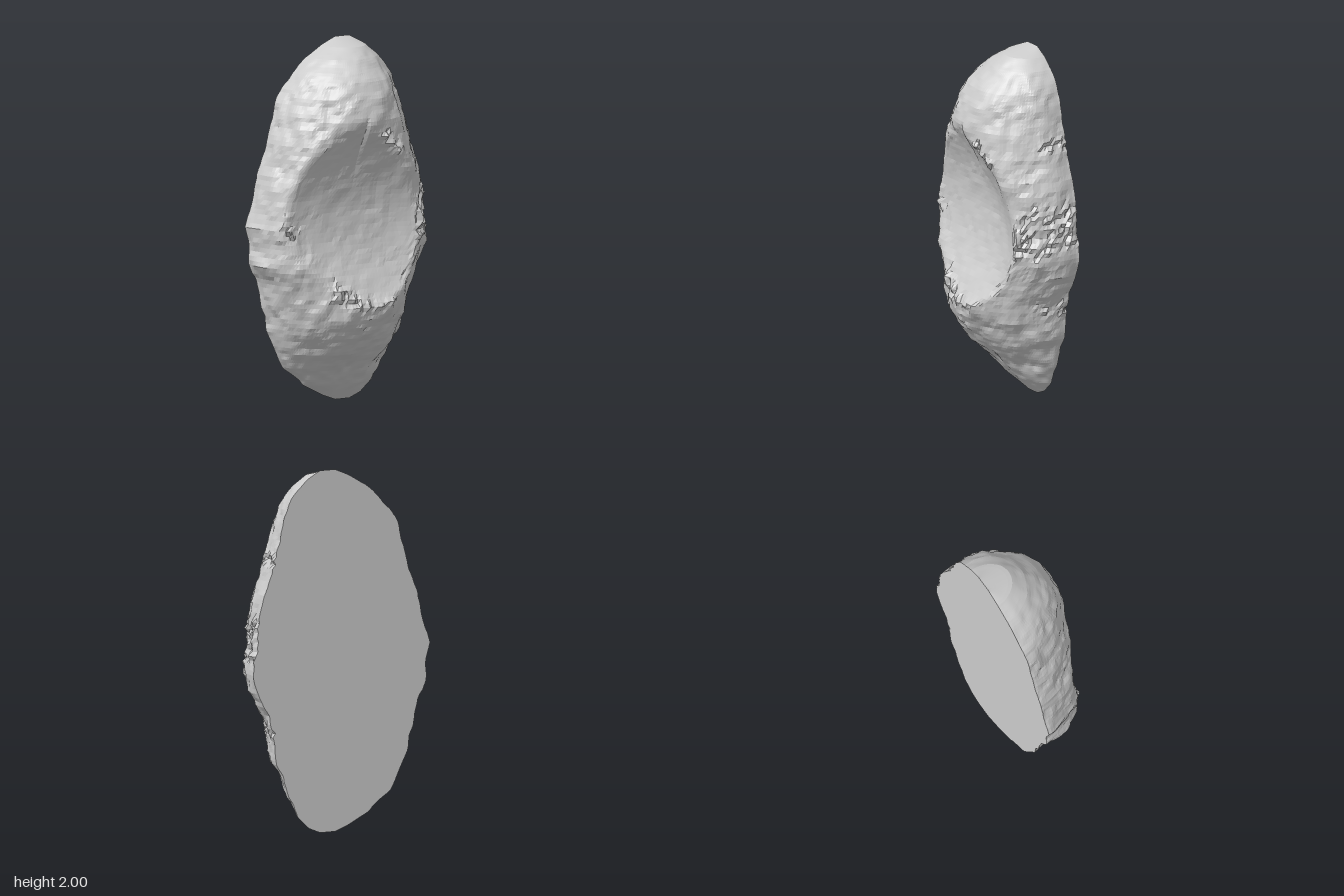
import * as THREE from 'three';

const BACK = -0.23, ROWS = 120, COLS = 72;
const { clamp, smoothstep } = THREE.MathUtils;

// Outline stations: height, edge at -x, edge at +x, depth of the uncut dome
const STATIONS = [
  [0, 0.03, 0.12, BACK], [0.03, -0.05, 0.19, -0.2], [0.1, -0.18, 0.26, -0.13],
  [0.2, -0.3, 0.3, -0.05], [0.3, -0.36, 0.33, 0.05], [0.4, -0.4, 0.38, 0.13],
  [0.5, -0.42, 0.4, 0.19], [0.6, -0.45, 0.41, 0.23], [0.7, -0.48, 0.45, 0.25],
  [0.8, -0.53, 0.5, 0.26], [0.88, -0.52, 0.53, 0.26], [1, -0.54, 0.51, 0.26],
  [1.1, -0.51, 0.5, 0.25], [1.2, -0.49, 0.49, 0.25], [1.3, -0.46, 0.47, 0.24],
  [1.4, -0.43, 0.44, 0.22], [1.5, -0.4, 0.41, 0.2], [1.6, -0.37, 0.38, 0.18],
  [1.7, -0.33, 0.36, 0.15], [1.8, -0.26, 0.33, 0.1], [1.9, -0.16, 0.26, 0.01],
  [1.96, -0.06, 0.19, -0.07], [2, 0.03, 0.12, BACK],
];

function station(y) {
  let i = 1;
  while (i < STATIONS.length - 1 && STATIONS[i][0] < y) i++;
  const a = STATIONS[i - 1], b = STATIONS[i];
  const t = clamp((y - a[0]) / (b[0] - a[0]), 0, 1);
  return a.map((v, k) => v + (b[k] - v) * t);
}

// Lower of two heights with a rounded crossover of width k
function softMin(a, b, k) {
  const h = Math.max(0, k - Math.abs(a - b)) / k;
  return Math.min(a, b) - (h * h * k) / 4;
}

// Repeatable value noise from -1 to 1
function hash(x, y, z) {
  let h = Math.imul(x, 374761393) ^ Math.imul(y, 668265263) ^ Math.imul(z, 1274126177);
  h = Math.imul(h ^ (h >>> 13), 1103515245);
  h = Math.imul(h ^ (h >>> 15), 2246822519);
  return ((h ^ (h >>> 16)) >>> 0) / 2147483648 - 1;
}
function noise(x, y, z) {
  const c = [x, y, z].map(Math.floor);
  const [u, v, w] = [x - c[0], y - c[1], z - c[2]].map((f) => f * f * (3 - 2 * f));
  let sum = 0;
  for (let k = 0; k < 8; k++) {
    const i = k & 1, j = (k >> 1) & 1, l = k >> 2;
    sum += hash(c[0] + i, c[1] + j, c[2] + l) * (i ? u : 1 - u) * (j ? v : 1 - v) * (l ? w : 1 - w);
  }
  return sum;
}

// Floor of the scooped hollow: open to -x, rising towards +x
function hollow(x, y) {
  const dy = y - 1.1;
  const side = Math.max(0, x + dy * 0.4);
  return 0.02 + (dy < 0 ? 0.7 : 0.72) * dy * dy + (x > 0 ? 0.6 * side * side : 0.03 * x * x);
}

// Point on the rough stone skin; t runs from the -x edge to the +x edge
function skinPoint(row, col) {
  const y = 1 - Math.cos((Math.PI * row) / ROWS);
  const t = (Math.PI * col) / COLS;
  const [, left, right, depth] = station(y);
  const c = Math.cos(t), s = col % COLS === 0 ? 0 : Math.sin(t);
  let x = (left + right) / 2 - ((right - left) / 2) * c;

  // Dome planed off by a long slope at -x and a steeper one at +x
  let dome = BACK + (depth - BACK) * Math.pow(s, 1.05);
  dome = softMin(dome, 0.24 + 0.46 * x, 0.04);
  dome = softMin(dome, 0.4 - 0.85 * x, 0.04);
  const floor = hollow(x, y);
  let z = softMin(dome, floor, y > 1.1 ? 0.05 : 0.02);

  // Broken stone along the rim and the +x flank, smoother inside the hollow
  const ends = Math.min(1, y * 5, (2 - y) * 5);
  const band = smoothstep(y, 0.4, 0.6) * (1 - smoothstep(y, 1.5, 1.65));
  const rim = Math.exp(-(((dome - floor) / 0.035) ** 2)) * (x < -0.2 && y > 1.1 ? 0.3 : 1);
  const flank = smoothstep(x, 0.25, 0.4) * 0.7;
  const patch = smoothstep(noise(x * 7 + 9, y * 7, 4), -0.2, 0.4);
  const crag = Math.max(rim, flank) * band * patch;
  const calm = floor < dome - 0.03 ? 0.4 : 1;
  const broad = noise(x * 9, y * 9, z * 9) * 0.014 + noise(x * 24, y * 24, z * 24) * 0.009;
  const sharp = noise(x * 40, y * 40, z * 40) * 0.03 * crag;
  const bump = (broad * calm + sharp) * ends;
  x += -c * bump + hash(row, col, 3) * 0.004 * crag * s;
  z += s * (bump + hash(row, col, 7) * 0.008 * crag);
  return [x, y, Math.max(BACK, z)];
}

function buildMesh(name, positions, indices) {
  const geometry = new THREE.BufferGeometry();
  geometry.setAttribute('position', new THREE.Float32BufferAttribute(positions, 3));
  geometry.setIndex(indices);
  geometry.computeVertexNormals();
  const mesh = new THREE.Mesh(
    geometry,
    new THREE.MeshStandardMaterial({ color: 0xcccccc, flatShading: true }),
  );
  mesh.name = name;
  return mesh;
}

export function createModel() {
  const group = new THREE.Group();
  group.name = 'hollowedRock';
  const skin = [], skinFaces = [], back = [], backFaces = [];
  const n = COLS + 1;
  for (let i = 0; i <= ROWS; i++) {
    for (let j = 0; j <= COLS; j++) {
      const p = skinPoint(i, j);
      skin.push(...p);
      if (j === 0 || j === COLS) back.push(...p);
      if (i < ROWS && j < COLS) {
        const a = i * n + j;
        skinFaces.push(a, a + 1, a + n + 1, a, a + n + 1, a + n);
      }
    }
    // Flat back, one strip per row between the two edges
    if (i < ROWS) {
      const l = i * 2;
      backFaces.push(l + 1, l, l + 2, l + 1, l + 2, l + 3);
    }
  }
  group.add(buildMesh('rockFace', skin, skinFaces), buildMesh('flatBack', back, backFaces));
  return group;
}
